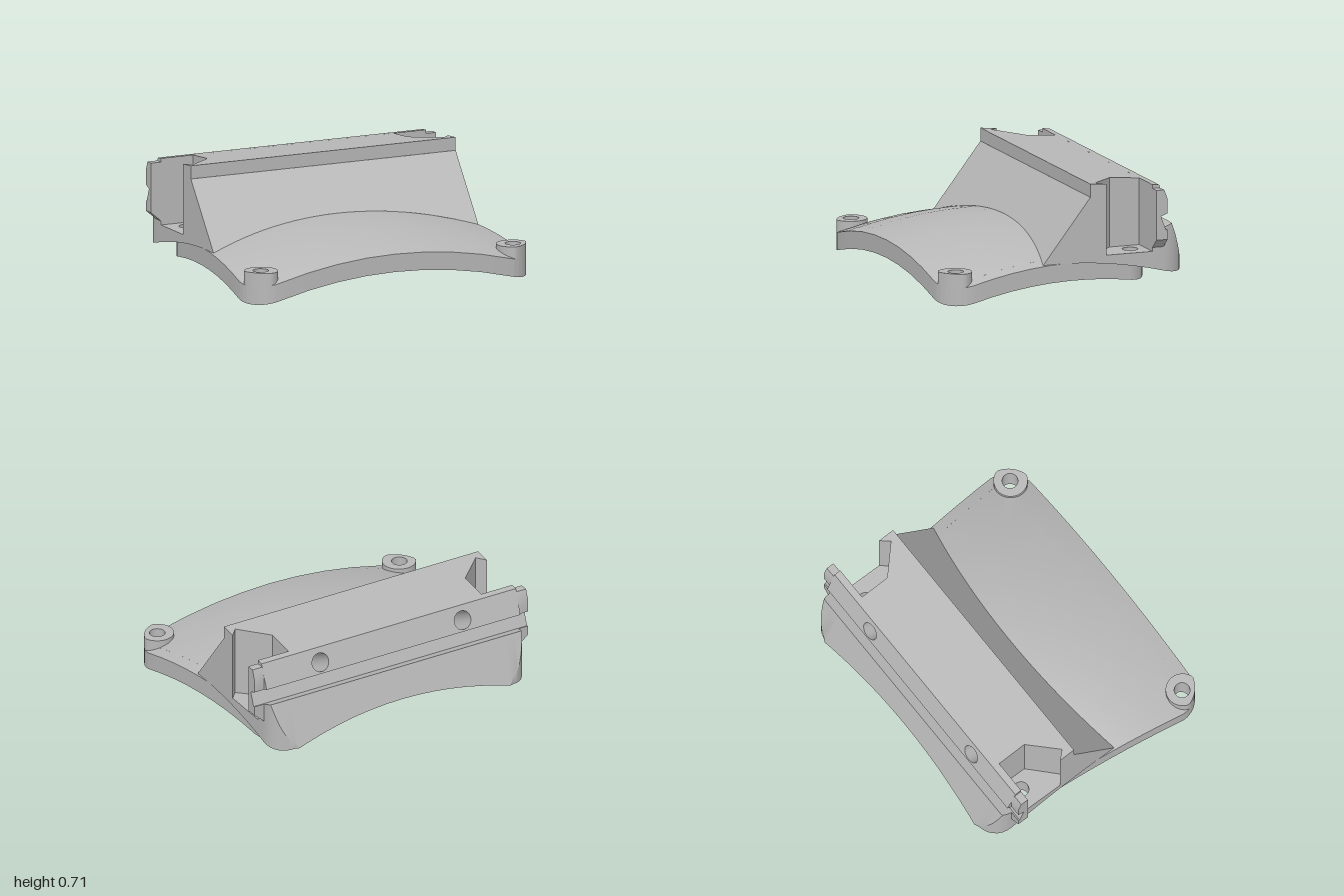
import * as THREE from 'three';
import { toCreasedNormals } from 'three/addons/utils/BufferGeometryUtils.js';

const V2 = (x, z) => new THREE.Vector2(x, z);
const V3 = (x, y, z) => new THREE.Vector3(x, y, z);
const grey = new THREE.MeshStandardMaterial({ color: 0xb8b8b8 });
grey.name = 'warm grey plastic';

// height rules
const dome = (x, z) => 0.345 - 0.165 * x * x - 0.177 * (z - 0.06) ** 2;
const under = (x, z) => dome(x, z) - 0.115;
const ramp = (x, z) => 0.215 - 1.29 * (z - 0.13);
const roof = (x, z) => 0.7 + (z + 0.18) * 0.086;
const rearPlane = (x, z) => 0.66 + (z + 0.645) * 2.667;
const level = y => () => y;
const DIV = 8;

function mesh(name, ...lists) {
  const g = new THREE.BufferGeometry();
  const pts = lists.flat();
  const pos = new Float32Array(pts.length * 3);
  pts.forEach((p, i) => p.toArray(pos, i * 3));
  g.setAttribute('position', new THREE.BufferAttribute(pos, 3));
  const m = new THREE.Mesh(toCreasedNormals(g, 0.45), grey);
  m.name = name;
  return m;
}

const circle = (cx, cz, r, n = 24) => Array.from({ length: n }, (_, i) =>
  V2(cx + r * Math.cos(i / n * Math.PI * 2), cz + r * Math.sin(i / n * Math.PI * 2)));

// outline (x, z) filled with a fine mesh laid on the height rule f
function lid(outline, holes, f, up, keep = () => true) {
  const out = [], all = [outline, ...holes].flat();
  for (const t of THREE.ShapeUtils.triangulateShape(outline, holes)) {
    let [a, b, c] = t.map(i => all[i]);
    const ccw = (b.x - a.x) * (c.y - a.y) - (b.y - a.y) * (c.x - a.x) > 0;
    if (ccw === up) [b, c] = [c, b];
    const at = (i, j) => {
      const x = a.x + (b.x - a.x) * i / DIV + (c.x - a.x) * j / DIV;
      const z = a.y + (b.y - a.y) * i / DIV + (c.y - a.y) * j / DIV;
      return V3(x, f(x, z), z);
    };
    const tri = (p, q, r) => { if (keep((p.x + q.x + r.x) / 3)) out.push(p, q, r); };
    for (let i = 0; i < DIV; i++) for (let j = 0; i + j < DIV; j++) {
      tri(at(i, j), at(i + 1, j), at(i, j + 1));
      if (i + j < DIV - 1) tri(at(i + 1, j), at(i + 1, j + 1), at(i, j + 1));
    }
  }
  return out;
}

// upright wall along an outline, between two height rules
function walls(outline, f0, f1, inward = false, keep = () => true) {
  const out = [];
  const pts = (THREE.ShapeUtils.area(outline) > 0) !== inward ? [...outline].reverse() : outline;
  pts.forEach((a, k) => {
    const b = pts[(k + 1) % pts.length];
    if (!keep(a, b)) return;
    for (let i = 0; i < DIV; i++) {
      const p = a.clone().lerp(b, i / DIV), q = a.clone().lerp(b, (i + 1) / DIV);
      const v = (s, f) => V3(s.x, f(s.x, s.y), s.y);
      out.push(v(p, f0), v(q, f0), v(q, f1), v(p, f0), v(q, f1), v(p, f1));
    }
  });
  return out;
}

// closed (z, y) profiles swept along x stations, with end caps
function loft(xs, profile, skip = () => false) {
  const out = [], secs = xs.map(x => profile(x).map(([z, y]) => V3(x, y, z)));
  for (let s = 0; s < xs.length - 1; s++) secs[s].forEach((p0, i) => {
    if (skip(i, Math.abs(xs[s] + xs[s + 1]) / 2)) return;
    const n = (i + 1) % secs[s].length, q0 = secs[s][n], p1 = secs[s + 1][i], q1 = secs[s + 1][n];
    out.push(p0, p1, q1, p0, q1, q0);
  });
  [[secs[0], false], [secs[secs.length - 1], true]].forEach(([sec, right]) => {
    const flat = sec.map(p => V2(p.z, p.y));
    for (const [a, b, c] of THREE.ShapeUtils.triangulateShape(flat, [])) {
      const ccw = flat[b].clone().sub(flat[a]).cross(flat[c].clone().sub(flat[a])) > 0;
      out.push(sec[a], ...(ccw === right ? [sec[c], sec[b]] : [sec[b], sec[c]]));
    }
  });
  return out;
}

// slanted screw tunnel: a ring of points slid along the axis
const AX = V3(0, -0.465, 0.885), AV = V3(0, 0.885, 0.465);
const round = () => 0.06;
const hex = t => 0.08 * Math.cos(Math.PI / 6) / Math.cos((t % (Math.PI / 3)) - Math.PI / 6);
function ring(x, radius, t0, t1 = t0, f = null) {
  return Array.from({ length: 24 }, (_, i) => {
    const th = i / 24 * Math.PI * 2 + 1e-9, r = radius(th);
    const base = V3(x + r * Math.cos(th), 0.567, -0.677).addScaledVector(AV, r * Math.sin(th));
    const at = t => base.clone().addScaledVector(AX, t);
    let lo = t0, hi = t1;
    const side = t => { const p = at(t); return p.y > f(p.x, p.z); };
    if (f) for (let k = 0, s = side(lo); k < 30; k++) {
      const m = (lo + hi) / 2;
      if (side(m) === s) lo = m; else hi = m;
    }
    return at(lo);
  });
}
const plan = pts => pts.map(p => V2(p.x, p.z));

export function createModel() {
  const g = new THREE.Group();
  g.name = 'curvedMountBracket';
  const mirror = pts => [...pts, ...[...pts].reverse().map(p => V2(-p.x, p.y))];

  // screw tunnels
  const tunnels = [-0.52, 0.52].map(x => [
    ring(x, round, -0.2, 0.2, rearPlane), ring(x, round, 0.45),
    ring(x, hex, 0.45), ring(x, hex, 0.45, 1.3, under)]);
  tunnels.forEach(rings => {
    const out = [];
    for (let s = 0; s < 3; s++) for (let i = 0; i < 24; i++) {
      const n = (i + 1) % 24, a = rings[s], b = rings[s + 1];
      out.push(a[i], b[i], b[n], a[i], b[n], a[n]);
    }
    g.add(mesh('screwTunnel', out));
  });

  // domed base plate with rounded corners and four screw holes
  const arc = (cx, cz, r, a0, a1) => Array.from({ length: 9 }, (_, i) => {
    const a = a0 + (a1 - a0) * i / 8;
    return V2(cx + r * Math.cos(a), cz + r * Math.sin(a));
  });
  const plate = mirror([...arc(0.73, -0.45, 0.15, -Math.PI / 2, 0), ...arc(0.805, 0.64, 0.19, 0, Math.PI / 2)]);
  const holes = [];
  for (const s of [-1, 1]) holes.push(circle(s * 0.885, 0.715, 0.05), circle(s * 0.8, -0.5, 0.05));
  g.add(mesh('basePlate', lid(plate, holes, dome, true),
    lid(plate, [...holes, ...tunnels.map(t => plan(t[3]))], under, false), walls(plate, under, dome)));
  holes.forEach((h, i) => g.add(mesh('screwHole', walls(h, under, level(i % 2 ? 0.235 : 0.2), true))));

  // flat front bosses, trimmed to the plate corner
  for (const s of [-1, 1]) {
    const c = V2(s * 0.805, 0.64);
    const rim = circle(s * 0.885, 0.72, 0.108, 32).map(p => {
      const d = p.clone().sub(c);
      return d.length() > 0.19 ? d.setLength(0.19).add(c) : p;
    });
    g.add(mesh('cornerBoss', lid(rim, [holes[s < 0 ? 0 : 2]], level(0.2), true), walls(rim, dome, level(0.2))));
  }

  // sloping front of the block, meeting the dome in a curve
  const outer = x => Math.abs(x) > 0.7;
  const front = [V2(0.93, -0.18)];
  for (let i = 0; i <= 24; i++) {
    const x = 0.93 - i * 0.0775;
    let z = 0.1;
    for (let k = 0; k < 12; k++) z = 0.13 + (0.215 - dome(x, z)) / 1.29;
    front.push(V2(x, z));
  }
  front.push(V2(-0.93, -0.18));
  g.add(mesh('frontSlope', lid(front, [], ramp, true), lid(front, [], dome, false, outer),
    walls(front, dome, ramp, false, (a, b) => a.y + b.y > -0.35)));
  const lip = new THREE.Mesh(new THREE.PlaneGeometry(1.86, 0.085), grey);
  lip.name = 'frontLip';
  lip.position.set(0, 0.6575, -0.18);
  g.add(lip);

  // main block with a pocket at each end
  const pocket = [V2(0.705, -0.6), V2(0.705, -0.4), V2(0.88, -0.235), V2(0.93, -0.29)];
  const block = mirror([...pocket, V2(0.93, -0.18)]);
  g.add(mesh('mainBlock', lid(block, [], roof, true), lid(block, [], dome, false, outer),
    walls(block, dome, roof, false, (a, b) => a.y !== b.y)));
  for (const s of [-1, 1]) {
    const floor = [...pocket, V2(0.93, -0.6)].map(p => V2(s * p.x, p.y));
    const hole = holes[s < 0 ? 1 : 3];
    g.add(mesh('pocketFloor', lid(floor, [hole], level(0.235), true),
      lid(floor, [hole], dome, false), walls(floor, dome, level(0.235))));
  }

  // grooved rear rail with rounded lower corners
  const rail = x => {
    const o = Math.abs(x) - 0.77;
    const zc = o > 0 ? -0.675 - Math.sqrt(Math.max(0, 0.0256 - o * o)) : -1;
    let zr = -0.8;
    for (let k = 0; k < 12; k++) zr = -0.74 + (dome(x, zr) - 0.405) / 2.84;
    const za = Math.max(-0.705, zc), zt = Math.max(-0.74, zc), zb = Math.max(zr, zc);
    const yt = 0.38 + (-0.665 - zt) / 3;
    return [[-0.6, dome(x, -0.6)], [-0.6, 0.664], [-0.645, 0.66], [za, rearPlane(x, za)],
      [za, 0.47 + (-0.63 - za) * 0.4], [-0.63, 0.47], [-0.665, 0.38], [zt, yt],
      [zb, Math.min(yt, 0.405 + (zb + 0.74) * 2.84)], [zb, dome(x, zb)]];
  };
  const half = [0.12, 0.24, 0.35, 0.47, 0.59, 0.705, 0.77];
  for (let k = 1; k <= 8; k++) half.push(0.77 + 0.16 * Math.sin(k * Math.PI / 16));
  const xs = [...half.map(x => -x).reverse(), 0, ...half];
  g.add(mesh('rearRail', loft(xs, rail, (i, x) => (i === 0 && x < 0.705) || (i === 2 && x < 0.77))));
  const panel = mirror([V2(0.77, -0.705), V2(0.77, -0.645)]);
  g.add(mesh('rearPanel', lid(panel, tunnels.map(t => plan(t[0])), rearPlane, true)));

  // end tabs with a chamfered underside
  const tab = x => {
    const yb = Math.abs(x) > 0.95 ? 0.32 : 0.26;
    return [[-0.6, yb], [-0.6, 0.64], [-0.652, 0.64], [-0.675, 0.58], [-0.675, 0.488],
      [-0.63, 0.47], [-0.665, 0.38], [-0.675, 0.383], [-0.675, yb]];
  };
  g.add(mesh('endTab', loft([0.93, 1], tab)), mesh('endTab', loft([-1, -0.93], tab)));
  return g;
}
